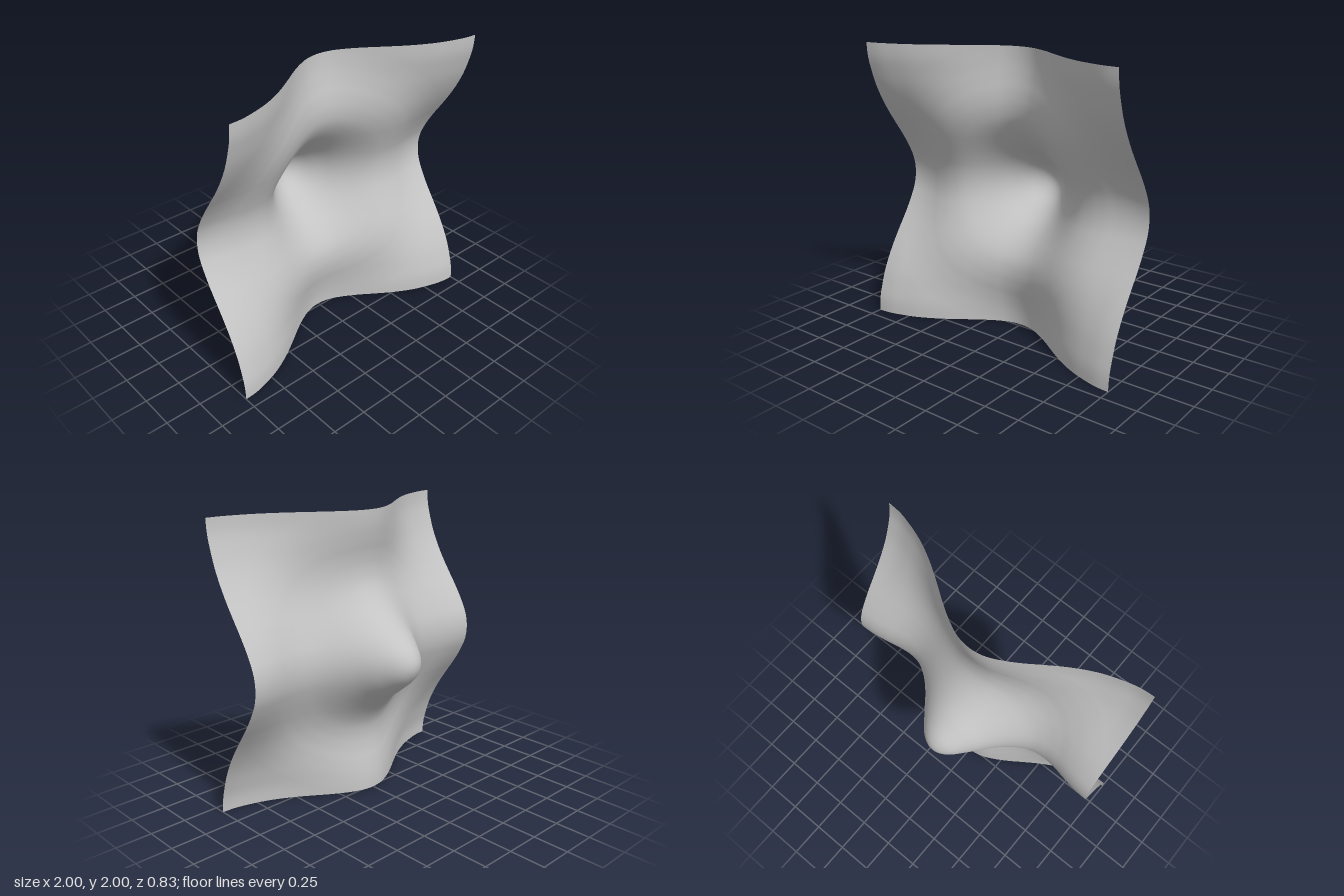
import * as THREE from 'three';

// Smooth curve through evenly spaced values on 0..1, level at both ends
function smoothCurve(values) {
  const times = values.map((_, i) => i / (values.length - 1));
  const curve = new THREE.CubicInterpolant(times, values, 1);
  curve.settings = { endingStart: THREE.ZeroSlopeEnding, endingEnd: THREE.ZeroSlopeEnding };
  return t => curve.evaluate(Math.min(t, 1))[0];
}

export function createModel() {
  const model = new THREE.Group();
  const grey = new THREE.MeshStandardMaterial({ color: 0xc4c4c4, side: THREE.DoubleSide });
  grey.name = 'light grey';

  // Round central dent with a low ring around it
  const dent = smoothCurve([-0.415, -0.375, -0.262, -0.135, -0.04, 0.018, 0.036, 0.028, 0.006, -0.012, -0.02]);
  // Rise towards the four corners
  const rise = smoothCurve([0, 0.035, 0.14, 0.28, 0.44, 0.595, 0.73, 0.84, 0.92, 0.98, 1]);

  // Wavy square sheet
  const geometry = new THREE.PlaneGeometry(2, 2, 120, 120);
  const p = geometry.attributes.position;
  for (let i = 0; i < p.count; i++) {
    const x = p.getX(i), y = p.getY(i);
    p.setZ(i, dent(Math.hypot(x, y)) + 0.435 * rise(Math.abs(x)) * rise(Math.abs(y)));
  }
  geometry.translate(0, 1, 0);
  geometry.computeVertexNormals();

  const sheet = new THREE.Mesh(geometry, grey);
  sheet.name = 'wavySheet';
  model.add(sheet);
  return model;
}
